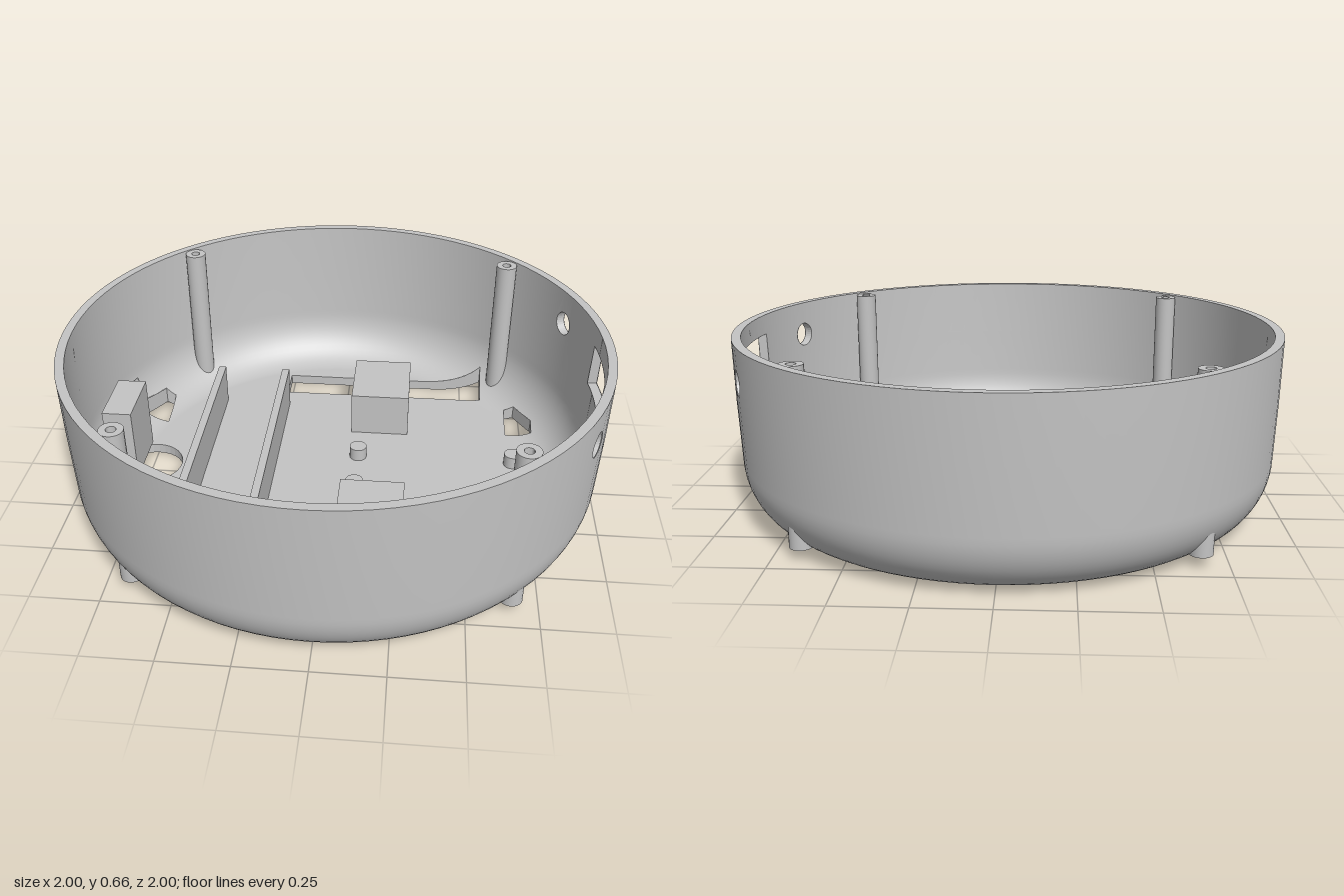
import * as THREE from 'three';
import { toCreasedNormals } from 'three/addons/utils/BufferGeometryUtils.js';

const SEG = 96, TOP = 0.662;

// One skin of the bowl: flat floor, elliptical fillet, slightly flared wall
function makeSkin(floor, r0, r1, rTop, ry) {
  const rx = r1 - r0;
  const points = [new THREE.Vector2(0, floor)];
  for (let i = 0; i <= 14; i++) {
    const a = (i / 14) * Math.PI / 2;
    points.push(new THREE.Vector2(r0 + rx * Math.sin(a), floor + ry * (1 - Math.cos(a))));
  }
  points.push(new THREE.Vector2((r1 + rTop) / 2 + 0.002, 0.44), new THREE.Vector2(rTop, TOP));
  const yAt = (r) => {
    const s = THREE.MathUtils.clamp((r - r0) / rx, 0, 1);
    return floor + ry * (1 - Math.sqrt(1 - s * s));
  };
  const rAt = (y) => {
    if (y > floor + ry) return r1 + (rTop - r1) * (y - floor - ry) / (TOP - floor - ry);
    const c = 1 - (y - floor) / ry;
    return r0 + rx * Math.sqrt(1 - c * c);
  };
  return { points, yAt, rAt };
}
const outer = makeSkin(0, 0.8, 0.988, 1, 0.22);
const inner = makeSkin(0.04, 0.78, 0.954, 0.967, 0.22);

const circle = (x, y, r, n = 32) => Array.from({ length: n }, (_, i) =>
  [x + r * Math.cos(i / n * 2 * Math.PI), y + r * Math.sin(i / n * 2 * Math.PI)]);
const rect = (x0, x1, y0, y1) => [[x0, y0], [x1, y0], [x1, y1], [x0, y1]];

// A convex cutter: its planes, plus the matching point on either skin
function cutter(pts, ea, eb, place, extra) {
  const v = pts.map((p) => new THREE.Vector2(...p));
  if (THREE.ShapeUtils.area(v) < 0) v.reverse();
  const planes = v.map((p, i) => {
    const d = v[(i + 1) % v.length].clone().sub(p).normalize();
    const n = ea.clone().multiplyScalar(d.y).addScaledVector(eb, -d.x);
    return new THREE.Plane(n, -(d.y * p.x - d.x * p.y));
  });
  return { v, planes: [...planes, extra], place };
}
const X = new THREE.Vector3(1, 0, 0), Y = new THREE.Vector3(0, 1, 0), Z = new THREE.Vector3(0, 0, 1);
const CAP = 0.21; // floor holes reach no higher than this up the wall
const floorHole = (pts) => cutter(pts, X, Z,
  (x, z, skin) => new THREE.Vector3(x, Math.min(CAP, skin.yAt(Math.hypot(x, z))), z), new THREE.Plane(Y, -CAP));
function wallHole(angle, pts) {
  const radial = new THREE.Vector3(Math.cos(angle), 0, Math.sin(angle));
  const side = new THREE.Vector3(-Math.sin(angle), 0, Math.cos(angle));
  const place = (t, y, skin) => radial.clone()
    .multiplyScalar(Math.sqrt(skin.rAt(y) ** 2 - t * t)).addScaledVector(side, t).setY(y);
  return cutter(pts, side, Y, place, new THREE.Plane(radial.clone().negate(), 0));
}

// Split a polygon of [position, normal] vertices by a plane
function split(poly, plane) {
  const dist = poly.map((p) => plane.normal.x * p[0] + plane.normal.y * p[1] + plane.normal.z * p[2] + plane.constant);
  const out = [], ins = [];
  poly.forEach((p, i) => {
    const j = (i + 1) % poly.length, a = dist[i], b = dist[j];
    (a > 0 ? out : ins).push(p);
    if ((a > 0) !== (b > 0)) {
      const m = p.map((c, k) => c + (poly[j][k] - c) * a / (a - b));
      out.push(m);
      ins.push(m);
    }
  });
  return [out, ins];
}
function subtract(poly, planes) {
  const pieces = [];
  let rest = poly;
  for (const plane of planes) {
    const [out, ins] = split(rest, plane);
    if (out.length > 2) pieces.push(out);
    if (ins.length < 3) return [poly];
    rest = ins;
  }
  return pieces;
}

// Lathe a skin and cut every hole out of it
function cutSkin(skin, holes, inward) {
  const g = new THREE.LatheGeometry(skin.points, SEG).toNonIndexed();
  const p = g.attributes.position, n = g.attributes.normal, s = inward ? -1 : 1;
  const pos = [], nor = [];
  for (let i = 0; i < p.count; i += 3) {
    const order = inward ? [i, i + 2, i + 1] : [i, i + 1, i + 2];
    let polys = [order.map((k) => [p.getX(k), p.getY(k), p.getZ(k), s * n.getX(k), s * n.getY(k), s * n.getZ(k)])];
    for (const h of holes) polys = polys.flatMap((q) => subtract(q, h.planes));
    for (const q of polys) for (let k = 1; k < q.length - 1; k++) for (const w of [q[0], q[k], q[k + 1]]) {
      pos.push(w[0], w[1], w[2]);
      nor.push(w[3], w[4], w[5]);
    }
  }
  const out = new THREE.BufferGeometry();
  out.setAttribute('position', new THREE.Float32BufferAttribute(pos, 3));
  out.setAttribute('normal', new THREE.Float32BufferAttribute(nor, 3));
  return out;
}

// Side faces of a hole, joining the two skins
function holeEdge(h) {
  const pos = [];
  h.v.forEach((a, i) => {
    const b = h.v[(i + 1) % h.v.length];
    const steps = Math.max(1, Math.ceil(a.distanceTo(b) / 0.03));
    for (let k = 0; k < steps; k++) {
      const p = a.clone().lerp(b, k / steps), q = a.clone().lerp(b, (k + 1) / steps);
      const [A, B, C, D] = [h.place(p.x, p.y, outer), h.place(q.x, q.y, outer),
        h.place(q.x, q.y, inner), h.place(p.x, p.y, inner)];
      for (const w of [A, B, C, A, C, D]) pos.push(w.x, w.y, w.z);
    }
  });
  const g = new THREE.BufferGeometry();
  g.setAttribute('position', new THREE.Float32BufferAttribute(pos, 3));
  g.computeVertexNormals();
  return g;
}

export function createModel() {
  const model = new THREE.Group();
  const grey = new THREE.MeshStandardMaterial({ color: 0xc4c4c4, side: THREE.DoubleSide });
  grey.name = 'light grey plastic';
  const add = (name, geometry, x = 0, y = 0, z = 0) => {
    const m = new THREE.Mesh(geometry, grey);
    m.name = name;
    m.position.set(x, y, z);
    model.add(m);
  };
  const box = (name, x0, x1, y0, y1, z0, z1) => add(name,
    new THREE.BoxGeometry(x1 - x0, y1 - y0, z1 - z0), (x0 + x1) / 2, (y0 + y1) / 2, (z0 + z1) / 2);

  const sensorHole = (s) => floorHole([[0.685, s * 0.315], [0.79, s * 0.315], [0.79, s * 0.38], [0.725, s * 0.485], [0.685, s * 0.485]]);
  const holes = [
    // wheel slots
    floorHole(rect(-0.265, 0.585, -0.71, -0.57)),
    floorHole(rect(-0.265, 0.585, 0.56, 0.705)),
    // caster and sensor openings
    floorHole(circle(-0.745, 0, 0.122)),
    sensorHole(1), sensorHole(-1),
    // cable opening, with a narrow web between its two parts
    floorHole([[-0.745, -0.29], [-0.745, -0.45], [-0.785, -0.45], [-0.875, -0.29]]),
    floorHole([[-0.888, -0.29], [-0.925, -0.29], [-0.895, -0.36], [-0.865, -0.36]]),
    // wall window, round ports and pin holes
    wallHole(0, rect(-0.135, 0.135, 0.427, 0.587)),
    ...[1, -1].flatMap((s) => [
      wallHole(s * 0.436, circle(0, 0.531, 0.046)),
      wallHole(s * 0.168, circle(0, 0.108, 0.016, 16)),
    ]),
  ];

  // Bowl
  add('outerShell', cutSkin(outer, holes, false));
  add('innerShell', cutSkin(inner, holes, true));
  add('rim', new THREE.RingGeometry(0.967, 1, SEG).rotateX(-Math.PI / 2), 0, TOP, 0);
  holes.forEach((h) => add('openingEdge', holeEdge(h)));

  // Screw posts, poking out below the rounded edge
  const post = toCreasedNormals(new THREE.LatheGeometry(
    [[0, 0.04], [0.041, 0.04], [0.041, 0.657], [0.017, 0.657], [0.017, 0.5], [0, 0.5]]
      .map((p) => new THREE.Vector2(...p)), 24), 0.6);
  for (const x of [-0.655, 0.652]) for (const z of [-0.657, 0.652]) add('screwPost', post, x, 0, z);

  // Standoff pegs
  const peg = new THREE.CylinderGeometry(0.034, 0.034, 0.06, 24);
  for (const [x, z] of [[0.08, -0.115], [0.08, 0.11], [0.7, -0.115], [0.7, 0.11], [0.38, 0.262], [0.5, 0.488]]) {
    add('peg', peg, x, 0.06, z);
  }

  // Partitions, motor blocks and caster block
  for (const x of [-0.55, -0.275]) box('partition', x, x + 0.03, 0.03, 0.21, -0.483, 0.473);
  box('backMotorBlock', 0.04, 0.275, 0.03, 0.22, -0.57, -0.283);
  box('frontMotorBlock', 0.04, 0.275, 0.03, 0.22, 0.278, 0.56);
  box('casterBlock', -0.878, -0.767, 0.06, 0.35, -0.115, 0.122);
  return model;
}
